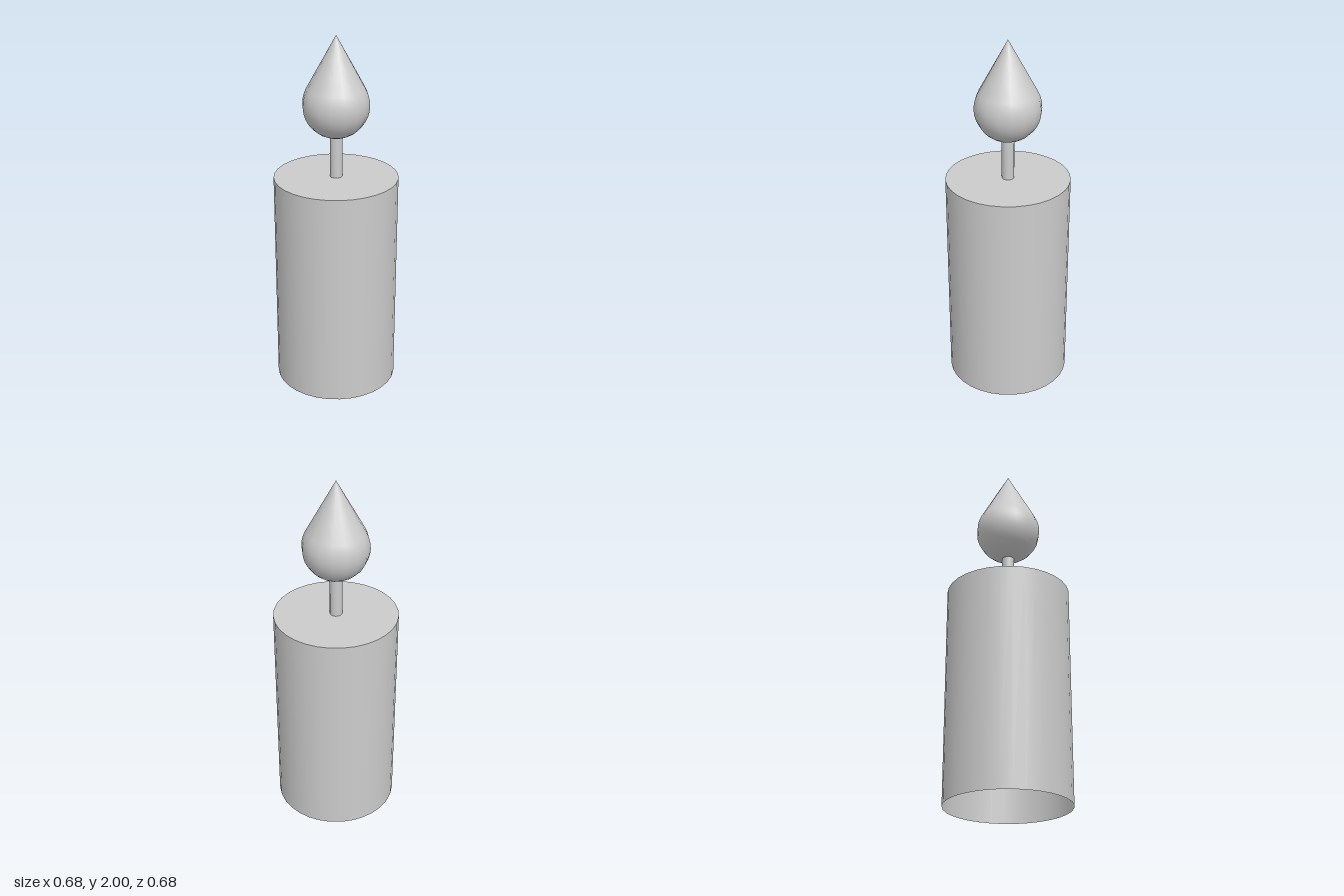
import * as THREE from 'three';

export function createModel() {
  const group = new THREE.Group();
  const material = new THREE.MeshStandardMaterial({ color: 0xcccccc, side: THREE.DoubleSide });
  const add = (name, geometry, y) => {
    const mesh = new THREE.Mesh(geometry, material);
    mesh.name = name;
    mesh.position.y = y;
    group.add(mesh);
    return mesh;
  };

  const bodyRadius = 0.34, bodyHeight = 1.22;

  // Wax body: a tube open underneath, closed by a flat top
  add('waxBody', new THREE.CylinderGeometry(bodyRadius, bodyRadius, bodyHeight, 32, 1, true), bodyHeight / 2);
  const top = new THREE.CircleGeometry(bodyRadius, 32).rotateX(-Math.PI / 2);
  add('waxTop', top, bodyHeight);

  // Wick, reaching slightly into the flame
  const wickHeight = 0.25;
  add('wick', new THREE.CylinderGeometry(0.034, 0.034, wickHeight, 16, 1, true), bodyHeight + wickHeight / 2);

  // Flame: a ball whose upper part runs tangentially into a pointed tip
  const r = 0.181, tip = 0.375, steps = 12;
  const tangent = Math.asin(r / tip);
  const profile = [];
  for (let i = 0; i <= steps; i++) {
    const a = -Math.PI / 2 + (i / steps) * (Math.PI / 2 + tangent);
    profile.push(new THREE.Vector2(i ? r * Math.cos(a) : 0, r * Math.sin(a)));
  }
  const shoulder = profile[steps];
  for (const t of [0.3, 0.6, 0.88, 1]) {
    profile.push(new THREE.Vector2(shoulder.x * (1 - t), THREE.MathUtils.lerp(shoulder.y, tip, t)));
  }
  const flame = new THREE.LatheGeometry(profile, 16);

  // Poles face straight up and down so the ends shade smoothly
  const { position, normal } = flame.attributes;
  for (let i = 0; i < position.count; i++) {
    if (Math.hypot(position.getX(i), position.getZ(i)) < 1e-6) {
      normal.setXYZ(i, 0, Math.sign(position.getY(i)), 0);
    }
  }
  add('flame', flame, 2 - tip);

  return group;
}
